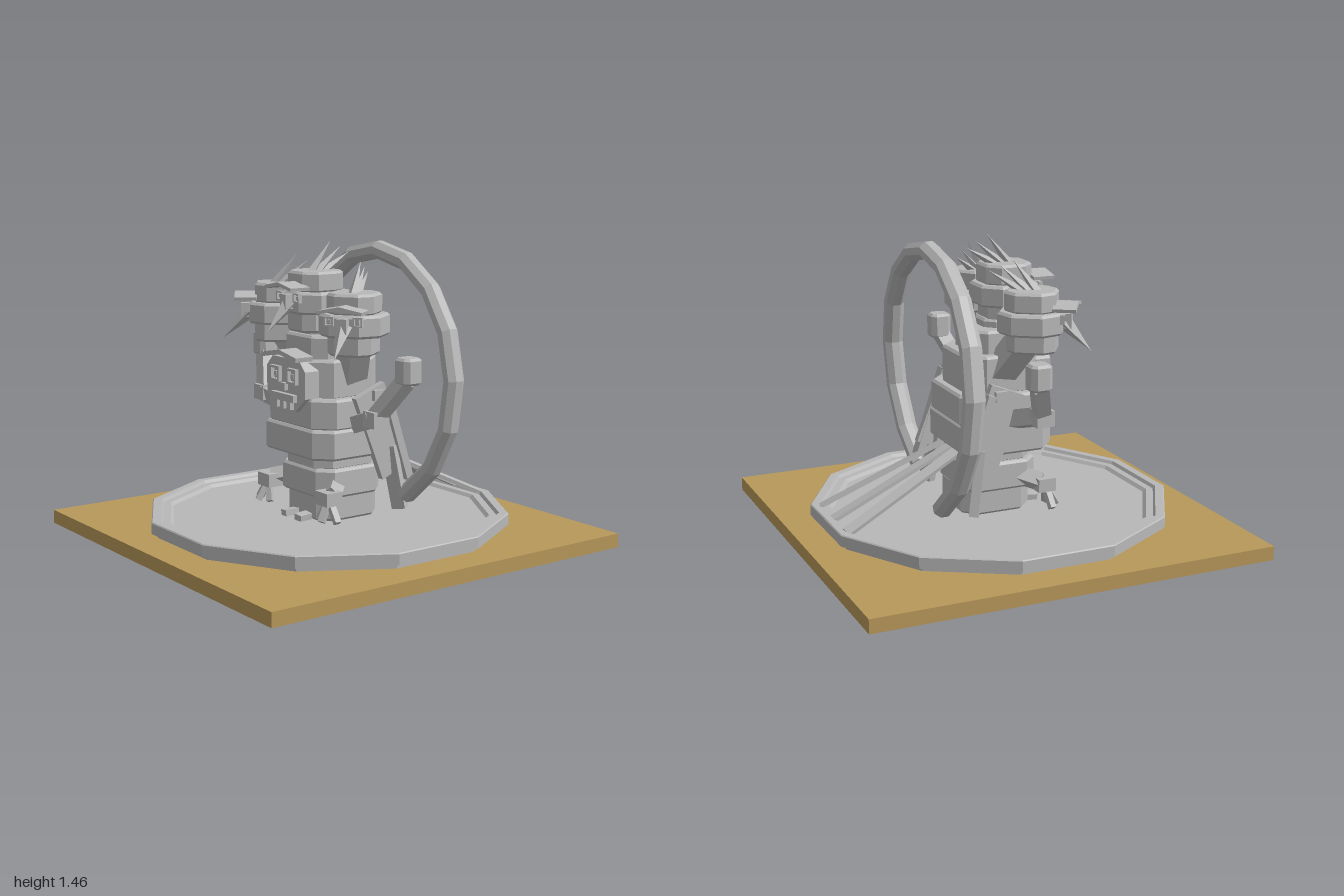
import * as THREE from 'three';

const stone = new THREE.MeshStandardMaterial({ color: 0xb8b8b8 });
stone.name = 'grey stone';
stone.flatShading = true;
const sand = new THREE.MeshStandardMaterial({ color: 0xb8985a });
sand.name = 'sand';
const V = (x, y, z) => new THREE.Vector3(x, y, z);

function add(parent, name, geo, x = 0, y = 0, z = 0, mat = stone) {
  const m = new THREE.Mesh(geo, mat);
  m.name = name;
  m.position.set(x, y, z);
  parent.add(m);
  return m;
}
const box = (p, name, w, h, d, x, y, z) => add(p, name, new THREE.BoxGeometry(w, h, d), x, y, z);

// block with cut corners and bevelled rims, spanning y0..y1 and z0..z1
function block(parent, name, w, y0, y1, z0, z1, cut = 0.06) {
  const b = 0.012, x = w / 2 - b, z = (z1 - z0) / 2 - b;
  const c = cut;
  const s = new THREE.Shape([
    [x - c, -z], [x, -z + c], [x, z - c], [x - c, z],
    [-x + c, z], [-x, z - c], [-x, -z + c], [-x + c, -z],
  ].map(([a, d]) => new THREE.Vector2(a, d)));
  const g = new THREE.ExtrudeGeometry(s, {
    depth: y1 - y0 - 2 * b, bevelSize: b, bevelThickness: b, bevelSegments: 1,
  });
  g.rotateX(-Math.PI / 2);
  return add(parent, name, g, 0, y0 + b, (z0 + z1) / 2);
}

// bar or spike running from a to b
function between(parent, name, geo, a, b) {
  const m = add(parent, name, geo);
  m.position.copy(a).add(b).multiplyScalar(0.5);
  m.quaternion.setFromUnitVectors(V(0, 1, 0), b.clone().sub(a).normalize());
  return m;
}
const bar = (p, n, a, b, w, d) => between(p, n, new THREE.BoxGeometry(w, a.distanceTo(b), d), a, b);
const spike = (p, n, a, b, r) => between(p, n, new THREE.ConeGeometry(r, a.distanceTo(b), 4), a, b);

// square eye: frame with a raised pupil
function eye(parent, x, y, z, size) {
  const h = size / 2, i = h * 0.68;
  const s = new THREE.Shape([V(-h, -h), V(h, -h), V(h, h), V(-h, h)]);
  s.holes.push(new THREE.Path([V(-i, -i), V(-i, i), V(i, i), V(i, -i)]));
  add(parent, 'eyeFrame', new THREE.ExtrudeGeometry(s, { depth: 0.02, bevelEnabled: false }), x, y, z - 0.005);
  box(parent, 'pupil', size * 0.3, size * 0.3, 0.016, x, y, z);
}

// beaked head facing +z, origin at the underside of the main block
function beakedHead(parent, name, x, y, z, turn) {
  const h = new THREE.Group();
  h.name = name;
  h.position.set(x, y, z);
  h.rotation.y = turn;
  parent.add(h);
  block(h, 'jaw', 0.21, -0.09, 0.01, -0.11, 0.12, 0.04);
  block(h, 'face', 0.3, 0, 0.105, -0.15, 0.15, 0.07);
  block(h, 'crown', 0.23, 0.1, 0.2, -0.12, 0.12, 0.05);
  spike(h, 'beak', V(0, 0.055, 0.15), V(0, -0.08, 0.28), 0.04);
  box(h, 'beakBridge', 0.05, 0.07, 0.06, 0, 0.06, 0.16);
  for (const s of [-1, 1]) {
    eye(h, s * 0.07, 0.08, 0.15, 0.045);
    const brow = box(h, 'brow', 0.11, 0.016, 0.11, s * 0.053, 0.135, 0.165);
    brow.rotation.z = -s * 0.2;
  }
  // fan of crest spikes, sweeping backward
  [[0.03, 0.34, -0.09], [0, 0.31, -0.15], [-0.03, 0.28, -0.2]].forEach(([z0, y1, z1]) =>
    spike(h, 'crestSpike', V(0, 0.18, z0), V(0, y1, z1), 0.026));
}

export function createModel() {
  const root = new THREE.Group();
  root.name = 'ringedTotem';

  // ground and twelve-sided dish
  add(root, 'ground', new THREE.BoxGeometry(2, 0.068, 2), 0, 0.036, 0, sand);
  const k = 1 / Math.cos(Math.PI / 12);
  const profile = [[0, 0], [0.76, 0], [0.76, 0.071], [0.83, 0.071], [0.83, 0.088], [0.86, 0.093], [0.86, 0.145],
    [0.855, 0.15], [0.815, 0.15], [0.805, 0.135], [0.77, 0.135], [0.755, 0.12], [0, 0.12]];
  const dish = new THREE.LatheGeometry(profile.map(([r, y]) => new THREE.Vector2(r * k, y)), 12);
  dish.rotateY(Math.PI / 12);
  add(root, 'dish', dish);

  // stacked body
  block(root, 'base', 0.36, 0.12, 0.26, -0.21, 0.15);
  block(root, 'hips', 0.41, 0.24, 0.38, -0.21, 0.17);
  block(root, 'waist', 0.35, 0.37, 0.46, -0.2, 0.16);
  block(root, 'belly', 0.54, 0.44, 0.585, -0.24, 0.23, 0.07);
  block(root, 'chest', 0.52, 0.58, 0.73, -0.24, 0.22, 0.08);
  block(root, 'shoulders', 0.42, 0.72, 0.91, -0.2, 0.2, 0.08);
  block(root, 'neckBlock', 0.32, 0.88, 1.02, -0.14, 0.17, 0.05);
  block(root, 'neck', 0.2, 1.0, 1.06, -0.06, 0.14, 0.04);

  // skull face on the chest
  const face = new THREE.Shape([[-0.08, 0.66], [0.08, 0.66], [0.16, 0.73], [0.16, 0.86], [0.11, 0.91],
    [-0.11, 0.91], [-0.16, 0.86], [-0.16, 0.73]].map(([x, y]) => new THREE.Vector2(x, y)));
  add(root, 'skullFace', new THREE.ExtrudeGeometry(face, { depth: 0.08, bevelEnabled: false }), 0, 0, 0.165);
  box(root, 'skullNose', 0.04, 0.035, 0.03, 0, 0.775, 0.25);
  box(root, 'mouth', 0.19, 0.035, 0.03, 0, 0.725, 0.255);
  for (const x of [-0.055, 0, 0.055]) box(root, 'tooth', 0.03, 0.04, 0.03, x, 0.69, 0.255);
  for (const s of [-1, 1]) {
    eye(root, s * 0.07, 0.83, 0.25, 0.075);
    const brow = box(root, 'skullBrow', 0.145, 0.022, 0.1, s * 0.068, 0.93, 0.235);
    brow.rotation.z = -s * 0.18;
  }

  // three beaked heads
  beakedHead(root, 'middleHead', 0, 1.12, 0.07, 0);
  for (const s of [-1, 1]) {
    bar(root, 'sideNeck', V(s * 0.14, 0.8, -0.03), V(s * 0.28, 1.0, 0.05), 0.12, 0.12);
    beakedHead(root, s > 0 ? 'leftHead' : 'rightHead', s * 0.31, 1.04, 0.07, s * 0.6);
  }

  for (const s of [-1, 1]) {
    // raised arms
    bar(root, 'upperArm', V(s * 0.23, 0.6, 0.0), V(s * 0.46, 0.67, 0.06), 0.08, 0.08);
    box(root, 'elbow', 0.085, 0.075, 0.09, s * 0.46, 0.665, 0.055);
    bar(root, 'forearm', V(s * 0.45, 0.66, 0.06), V(s * 0.58, 0.85, -0.02), 0.065, 0.07);
    block(root, 'fist', 0.105, 0.835, 0.96, -0.08, 0.025, 0.015).position.x = s * 0.59;

    // low claws
    bar(root, 'leg', V(s * 0.15, 0.3, 0.06), V(s * 0.25, 0.27, 0.16), 0.07, 0.07);
    box(root, 'ankle', 0.1, 0.065, 0.09, s * 0.245, 0.265, 0.17);
    for (const [x, z] of [[0.21, 0.2], [0.27, 0.23], [0.33, 0.18]])
      bar(root, 'claw', V(s * 0.255, 0.26, 0.175), V(s * x, 0.16, z), 0.03, 0.03);
    bar(root, 'toe', V(s * 0.05, 0.14, 0.12), V(s * 0.06, 0.135, 0.22), 0.05, 0.03);

    // folded wings
    const wing = box(root, 'wing', 0.035, 0.44, 0.18, s * 0.275, 0.56, -0.12);
    wing.rotation.x = 0.38;
    const rib = box(root, 'wingRib', 0.06, 0.46, 0.04, s * 0.285, 0.53, -0.2);
    rib.rotation.x = 0.32;
    bar(root, 'wingTip', V(s * 0.27, 0.48, -0.17), V(s * 0.3, 0.17, -0.22), 0.045, 0.07);
    box(root, 'wingJoint', 0.06, 0.05, 0.06, s * 0.285, 0.74, -0.08);
  }

  // tail feathers
  for (const s of [-1, 0, 1])
    bar(root, 'tailFeather', V(s * 0.09, 0.43, -0.22), V(s * 0.2, 0.145, -0.82), 0.06, 0.018);

  // open ring, drifting backward from one end to the other
  const path = new THREE.CurvePath();
  const n = 14, start = -1.02, sweep = Math.PI - 2 * start, pts = [];
  for (let i = 0; i <= n; i++) {
    const t = i / n, a = start + sweep * t;
    pts.push(V(0.625 * Math.cos(a), 0.775 + 0.625 * Math.sin(a), -0.24 - 0.15 * t));
  }
  for (let i = 0; i < n; i++) path.add(new THREE.LineCurve3(pts[i], pts[i + 1]));
  const ringPos = [], ringIdx = [], sides = 8;
  pts.forEach((p, i) => {
    const a = start + sweep * i / n;
    for (let j = 0; j < sides; j++) {
      const b = (j + 0.5) / sides * Math.PI * 2, r = 0.046 * Math.cos(b);
      ringPos.push(p.x + r * Math.cos(a), p.y + r * Math.sin(a), p.z + 0.052 * Math.sin(b));
      if (i < n) {
        const q = i * sides + j, w = i * sides + (j + 1) % sides;
        ringIdx.push(q, w, q + sides, w, w + sides, q + sides);
      }
    }
  });
  for (let j = 1; j < sides - 1; j++) {
    const e = n * sides;
    ringIdx.push(0, j + 1, j, e, e + j, e + j + 1);
  }
  const ring = new THREE.BufferGeometry();
  ring.setAttribute('position', new THREE.Float32BufferAttribute(ringPos, 3));
  ring.setIndex(ringIdx.map((_, i) => ringIdx[i - i % 3 + [0, 2, 1][i % 3]]));
  const flat = ring.toNonIndexed();
  flat.computeVertexNormals();
  add(root, 'ring', flat);
  return root;
}
